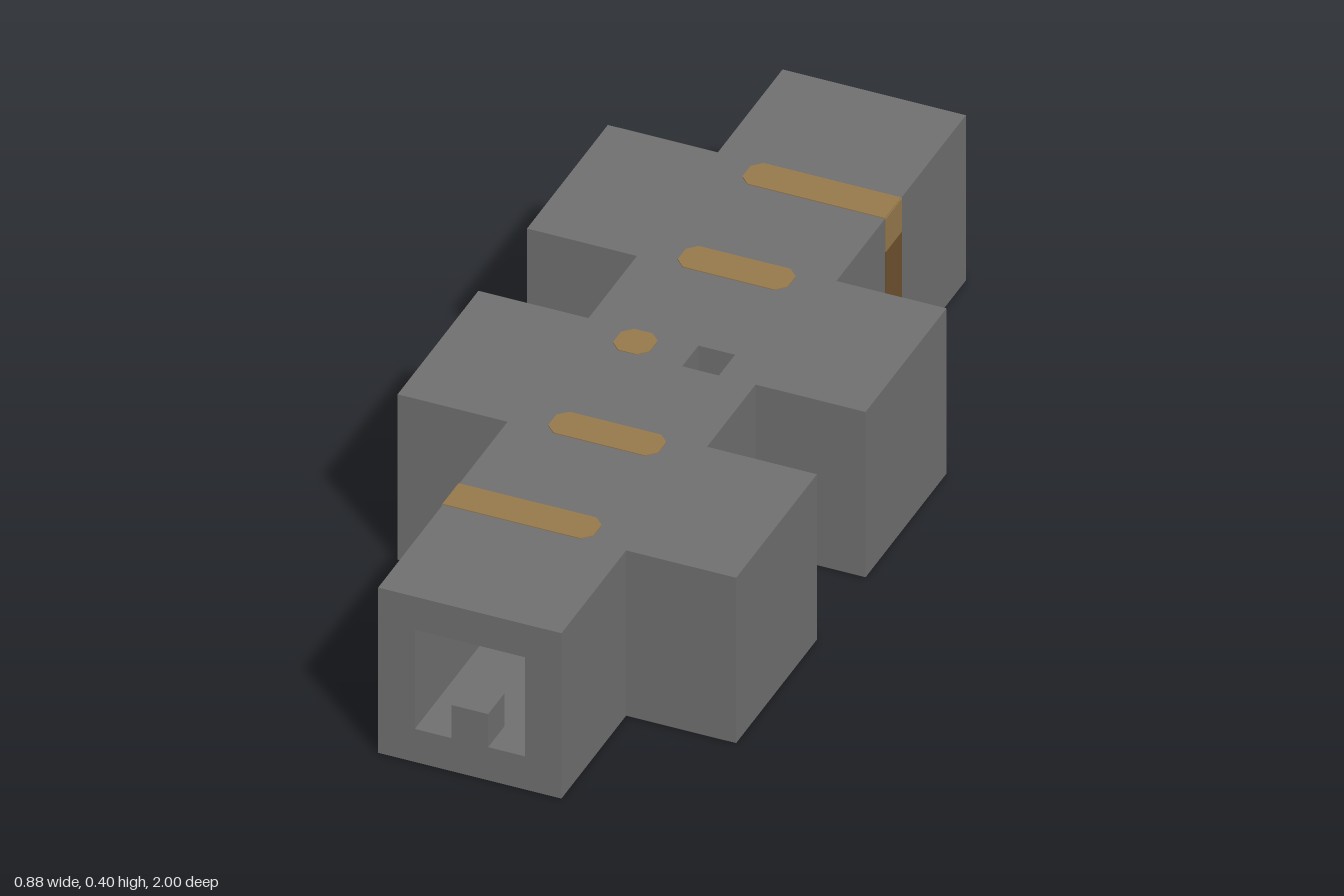
import * as THREE from 'three';

const material = (name, color) => {
  const m = new THREE.MeshStandardMaterial({ color });
  m.name = name;
  return m;
};

export function createModel() {
  const group = new THREE.Group();
  const grey = material('casing grey', 0x707070);
  const tan = material('light brown', 0x96794c);
  const brown = material('dark brown', 0x6f5230);

  const add = (name, geometry, mat, x = 0, y = 0, z = 0) => {
    const mesh = new THREE.Mesh(geometry, mat);
    mesh.name = name;
    mesh.position.set(x, y, z);
    group.add(mesh);
    return mesh;
  };
  const box = (name, mat, w, h, d, x, y, z) =>
    add(name, new THREE.BoxGeometry(w, h, d), mat, x, y, z);
  const shapeOf = (points) => new THREE.Shape(points.map(([x, y]) => new THREE.Vector2(x, y)));
  // Plan shapes use (x, -z) and rise along y
  const slab = (shape, height) =>
    new THREE.ExtrudeGeometry(shape, { depth: height, bevelEnabled: false }).rotateX(-Math.PI / 2);

  // Right-hand edge of the plan, from the front end to the back end
  const edge = [
    [0.2, -1], [0.2, -0.68], [0.44, -0.68], [0.44, -0.28], [0.2, -0.28],
    [0.2, -0.04], [0.44, -0.04], [0.44, 0.36], [0.2, 0.36], [0.2, 1],
  ];
  const turned = edge.map(([x, y]) => [-x, -y]);

  // Floor and roof share one outline; the roof has a square opening
  add('floor', slab(shapeOf([...edge, ...turned]), 0.08), grey);
  const roof = shapeOf([...edge, ...turned]);
  roof.holes.push(new THREE.Path([[0.04, -0.04], [0.04, 0.04], [0.12, 0.04], [0.12, -0.04]]
    .map(([x, y]) => new THREE.Vector2(x, y))));
  add('roof', slab(roof, 0.08), grey, 0, 0.32);

  // Stepped side walls leave a passage between them
  const wall = slab(shapeOf([...edge, [0.12, 1], [0.12, -1]]), 0.24);
  add('leftWall', wall, grey, 0, 0.08);
  add('rightWall', wall, grey, 0, 0.08).rotation.y = Math.PI;

  // Sill blocks at both mouths of the passage
  for (const s of [-1, 1]) box('sillBlock', grey, 0.08, 0.08, 0.08, 0, 0.12, s * 0.96);

  // Stacked blocks inside the passage
  box('innerBlock', brown, 0.08, 0.08, 0.08, -0.08, 0.12, 0);
  box('innerBlock', grey, 0.08, 0.08, 0.08, 0.08, 0.12, 0);
  for (const s of [-1, 1]) box('innerBlock', grey, 0.08, 0.08, 0.08, s * 0.08, 0.2, 0);
  box('openingPad', tan, 0.08, 0.004, 0.08, 0.08, 0.242, 0);

  // Inlay plates: a bar from a to b, 0.08 wide, with chamfered ends where asked
  const c = 0.02, h = 0.04, t = 0.004;
  const bar = (a, b, cutA, cutB) => {
    const p = cutA ? [[a, h - c], [a, c - h], [a + c, -h]] : [[a, h], [a, -h]];
    const q = cutB ? [[b - c, -h], [b, c - h], [b, h - c], [b - c, h]] : [[b, -h], [b, h]];
    return shapeOf(cutA ? [...p, ...q, [a + c, h]] : [...p, ...q]);
  };
  const top = 0.4 - t / 2;
  for (const z of [-0.32, 0.32]) add('roofInlay', slab(bar(-0.12, 0.12, true, true), t), tan, 0, top, z);
  add('roofSpot', slab(bar(-0.12, -0.04, true, true), t), tan, 0, top, 0);

  // End inlays run over the edge and down one side wall
  for (const s of [-1, 1]) {
    const turn = s > 0 ? Math.PI : 0;
    add('endInlay', slab(bar(-0.12, 0.2, true, false), t), tan, 0, top, s * 0.64).rotation.y = turn;
    box('sideInlayTop', tan, t, 0.08, 0.08, -s * 0.2, 0.36, s * 0.64);
    const drop = new THREE.ExtrudeGeometry(bar(0.08, 0.32, true, false), { depth: t, bevelEnabled: false })
      .rotateZ(Math.PI / 2).rotateY(Math.PI / 2);
    for (const x of [0.2, 0.12])
      add('sideInlay', drop, brown, -s * x - t / 2, 0, s * 0.64);
  }
  return group;
}
